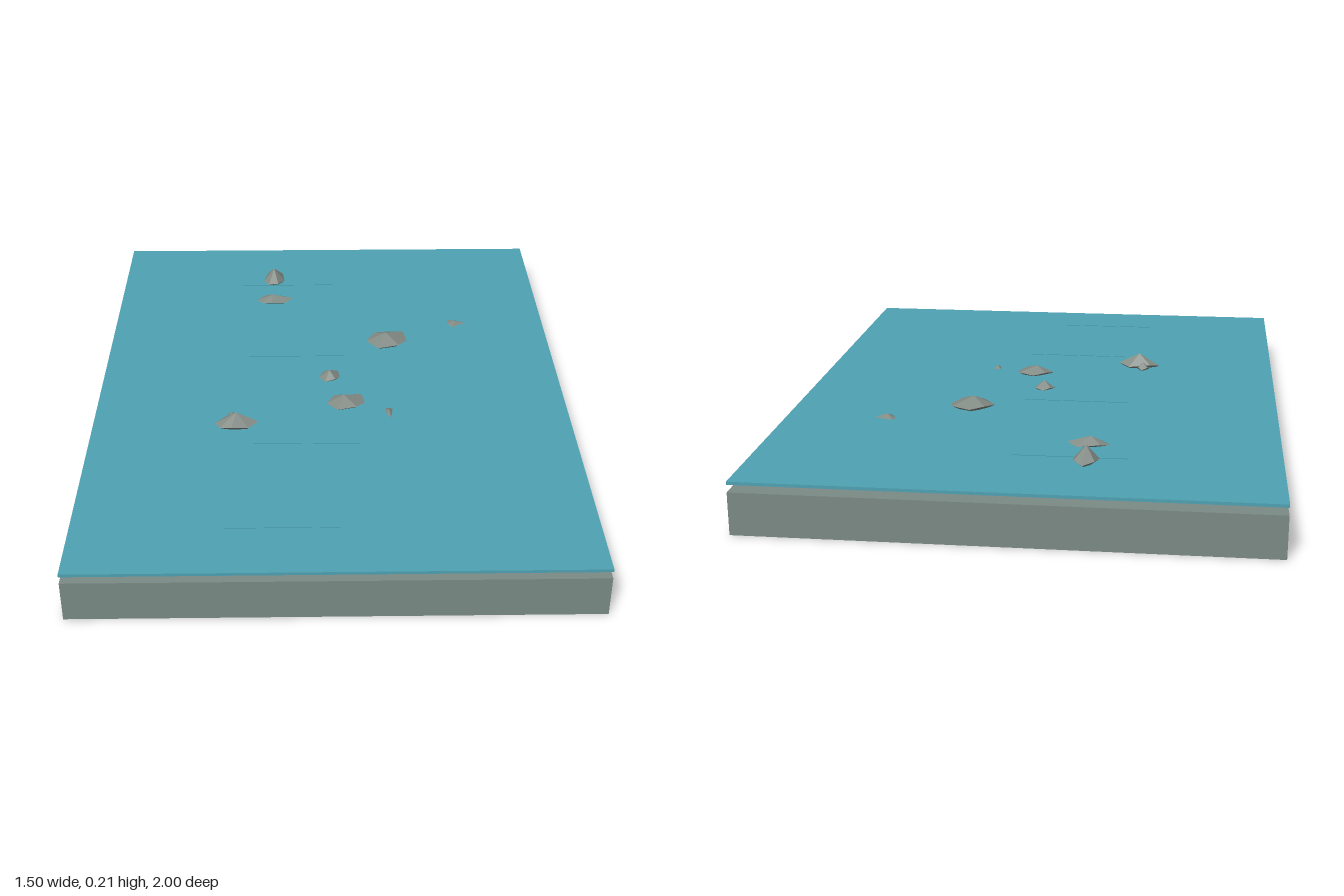
import * as THREE from 'three';
import { ConvexGeometry } from 'three/addons/geometries/ConvexGeometry.js';

export function createModel() {
  const model = new THREE.Group();
  model.name = 'waterTile';

  const material = (name, color) => {
    const m = new THREE.MeshStandardMaterial({ color });
    m.name = name;
    return m;
  };
  const bedStone = material('bedStone', 0x7b8b86);
  const water = material('water', 0x4fa3b3);
  const rockGrey = material('rockGrey', 0x828a84);
  rockGrey.flatShading = true;
  const rippleBlue = material('rippleBlue', 0x4597a6);
  rippleBlue.side = THREE.DoubleSide;

  const add = (name, geometry, mat, x, y, z, parent = model) => {
    const mesh = new THREE.Mesh(geometry, mat);
    mesh.name = name;
    mesh.position.set(x, y, z);
    parent.add(mesh);
    return mesh;
  };

  // River bed slab with the thin water sheet floating just above it
  add('riverBed', new THREE.BoxGeometry(1.5, 0.124, 2), bedStone, 0, 0.062, 0);
  add('waterSheet', new THREE.BoxGeometry(1.5, 0.009, 2), water, 0, 0.1505, 0);

  // Upright paper-thin ripples, barely breaking the surface
  for (const [x, z] of [[-0.15, 0.8], [-0.08, 0.37], [-0.12, -0.17], [-0.15, -0.7]]) {
    add('ripple', new THREE.PlaneGeometry(0.33, 0.009), rippleBlue, x, 0.152, z);
  }

  // Angular rock: an uneven waist outline (unit box), an off-centre peak and a blunt underside
  const rockGeometry = (w, d, low, mid, high, peakX, peakZ, outline) => {
    const points = outline.map(([x, z], i) =>
      new THREE.Vector3(x * w / 2, mid + (i % 2 ? 0.004 : -0.003), z * d / 2));
    points.push(new THREE.Vector3(peakX * w / 2, high, peakZ * d / 2));
    for (let i = 0; i < 3; i++) {
      const a = i * Math.PI * 2 / 3 + 0.4;
      points.push(new THREE.Vector3(Math.cos(a) * w * 0.14, low + i * 0.003, Math.sin(a) * d * 0.14));
    }
    return new ConvexGeometry(points);
  };
  const blunt = [[-1, 0.1], [-0.6, -0.7], [0.05, -1], [0.85, -0.8], [1, 0.1], [0.55, 0.85], [-0.45, 1]];
  const slim = [[-1, -0.15], [-0.55, -0.9], [0.5, -1], [1, -0.1], [0.55, 0.7], [-0.2, 1], [-0.75, 0.6]];
  const tall = [[-1, 0.3], [-0.7, -0.6], [0.2, -1], [0.85, -0.55], [1, 0.3], [0.4, 1], [-0.5, 0.85]];

  // x, z, width, depth, low, waist, high, peak x, peak z, outline
  const rocks = [
    [-0.2, -0.738, 0.075, 0.106, 0.138, 0.165, 0.207, 0.0, 0.05, tall],
    [-0.195, -0.58, 0.127, 0.065, 0.135, 0.158, 0.18, -0.1, 0.05, slim],
    [0.44, -0.397, 0.085, 0.062, 0.135, 0.15, 0.166, 0.0, 0.1, slim],
    [0.195, -0.265, 0.138, 0.118, 0.133, 0.166, 0.192, -0.05, 0.0, blunt],
    [-0.005, -0.033, 0.068, 0.068, 0.134, 0.158, 0.181, 0.0, 0.0, blunt],
    [0.045, 0.135, 0.122, 0.094, 0.135, 0.162, 0.184, -0.1, -0.1, blunt],
    [0.181, 0.188, 0.033, 0.075, 0.136, 0.15, 0.165, 0.0, 0.0, tall],
    [-0.3, 0.262, 0.137, 0.07, 0.131, 0.163, 0.201, 0.0, -0.1, slim],
    [-0.315, 0.222, 0.04, 0.045, 0.14, 0.16, 0.18, 0.0, 0.0, tall],
  ];
  const rockGroup = new THREE.Group();
  rockGroup.name = 'rocks';
  model.add(rockGroup);
  for (const [x, z, ...shape] of rocks) {
    add('rock', rockGeometry(...shape), rockGrey, x, 0, z, rockGroup);
  }
  return model;
}
